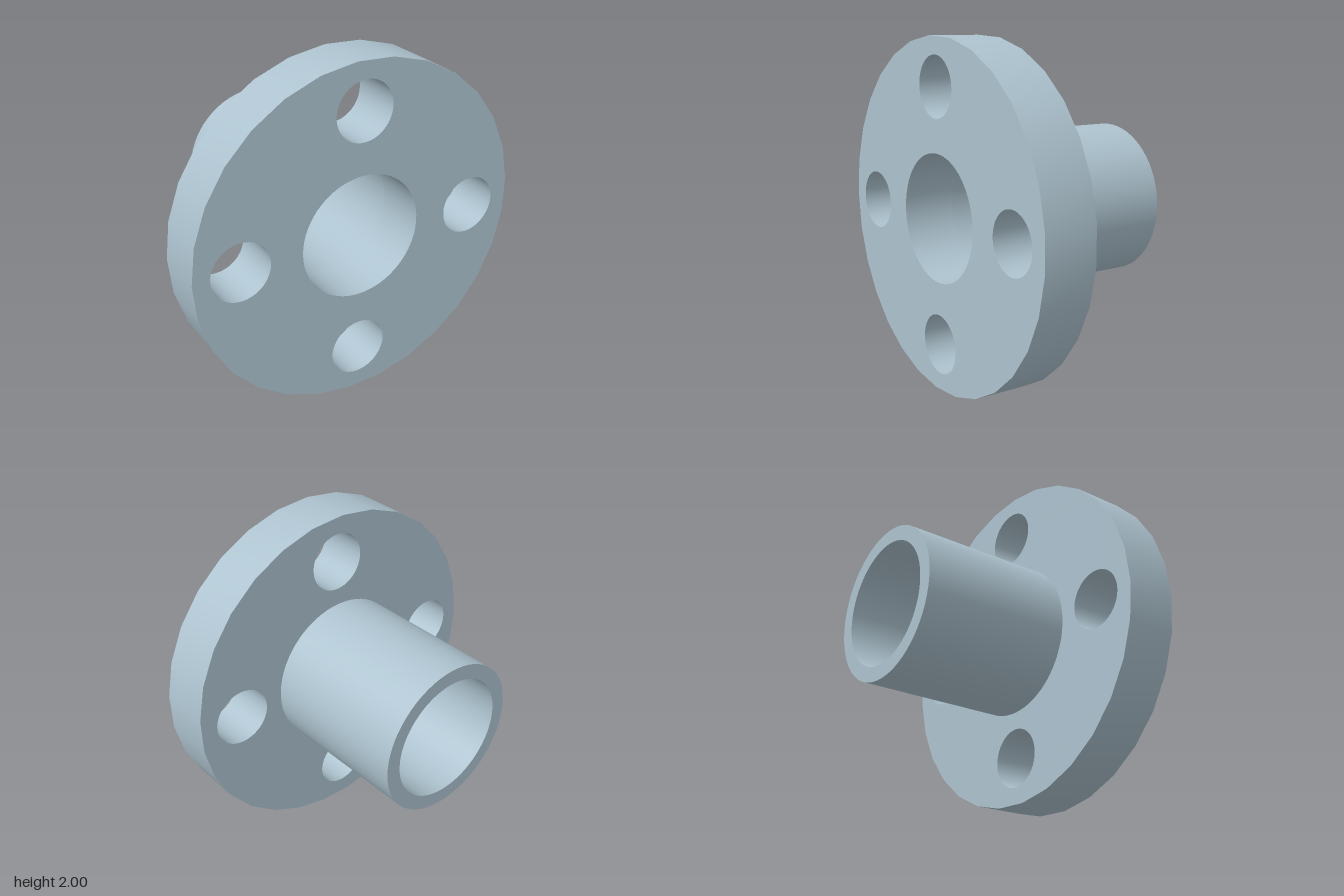
import * as THREE from 'three';
import { toCreasedNormals } from 'three/addons/utils/BufferGeometryUtils.js';

const RIM = 1.0015, BORE = 0.365, HUB = 0.453;
const BACK = -0.613, STEP = 0.3, FRONT = 0.613;
const BOLT_RING = 0.727, BOLT_HOLE = 0.172;

// Points of a regular polygon, starting on its -x side
function ring(cx, cy, radius, sides) {
  return Array.from({ length: sides }, (_, i) => {
    const a = Math.PI + (i / sides) * Math.PI * 2;
    return new THREE.Vector2(cx + radius * Math.cos(a), cy + radius * Math.sin(a));
  });
}

export function createModel() {
  const group = new THREE.Group();
  group.name = 'pipeFlange';
  const steel = new THREE.MeshStandardMaterial({ color: 0xadc3cf });
  steel.name = 'pale blue steel';

  const add = (name, geometry) => {
    const mesh = new THREE.Mesh(toCreasedNormals(geometry, 0.6), steel);
    mesh.name = name;
    mesh.position.y = 1;
    group.add(mesh);
  };

  // 29-sided disc with the bore and four bolt holes
  const disc = new THREE.Shape(ring(0.003, 0, RIM, 29));
  disc.holes.push(new THREE.Path(ring(0, 0, BORE, 64)));
  for (let i = 0; i < 4; i++) {
    const a = (i * Math.PI) / 2;
    disc.holes.push(new THREE.Path(
      ring(BOLT_RING * Math.cos(a), BOLT_RING * Math.sin(a), BOLT_HOLE, 48)));
  }
  const flange = new THREE.ExtrudeGeometry(disc, { depth: FRONT - STEP, bevelEnabled: false });
  flange.translate(0, 0, STEP);
  add('flange', flange);

  // Hollow tube behind the disc: bore wall, end ring, outer wall
  const profile = [[BORE, STEP], [BORE, BACK], [HUB, BACK], [HUB, STEP]]
    .map(([r, z]) => new THREE.Vector2(r, z));
  const tube = new THREE.LatheGeometry(profile, 64);
  tube.rotateX(Math.PI / 2);
  add('hubTube', tube);

  return group;
}
